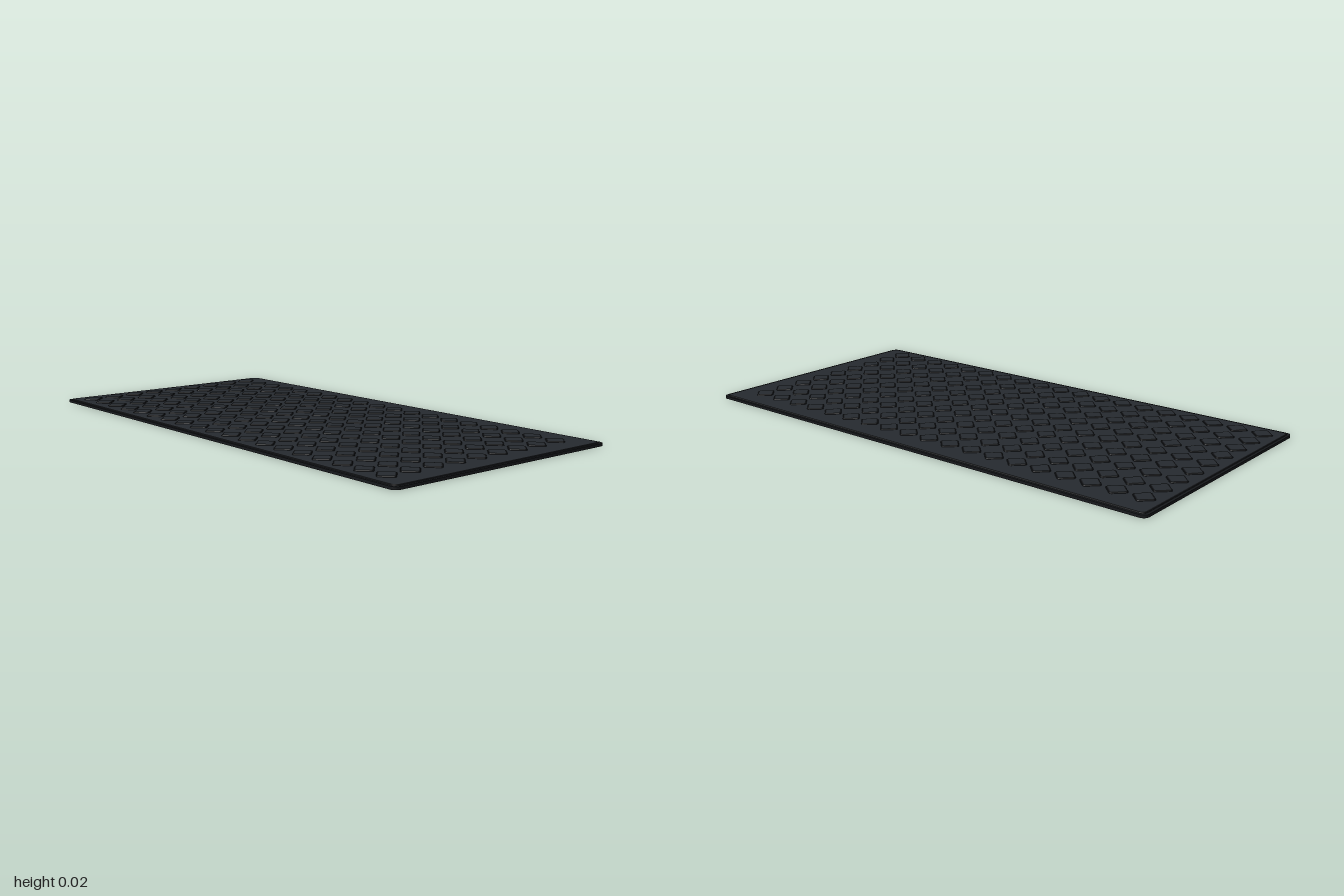
import * as THREE from 'three';

// Rounded rectangle outline centred on the origin
function roundedRect(w, d, r) {
  const x = w / 2, y = d / 2;
  const s = new THREE.Shape();
  s.moveTo(-x + r, -y);
  s.lineTo(x - r, -y);
  s.absarc(x - r, -y + r, r, -Math.PI / 2, 0);
  s.lineTo(x, y - r);
  s.absarc(x - r, y - r, r, 0, Math.PI / 2);
  s.lineTo(-x + r, y);
  s.absarc(-x + r, y - r, r, Math.PI / 2, Math.PI);
  s.lineTo(-x, -y + r);
  s.absarc(-x + r, -y + r, r, Math.PI, Math.PI * 1.5);
  return s;
}

// Flat slab lying in xz, w by d overall, from bottom to top, with optional bevel
function slab(w, d, r, bottom, top, bevel = 0, bevelHeight = 0) {
  const g = new THREE.ExtrudeGeometry(roundedRect(w - 2 * bevel, d - 2 * bevel, r), {
    depth: top - bottom - 2 * bevelHeight,
    bevelEnabled: bevel > 0,
    bevelSize: bevel,
    bevelThickness: bevelHeight,
    bevelSegments: 2,
    curveSegments: 5,
  });
  g.rotateX(-Math.PI / 2);
  g.translate(0, bottom + bevelHeight, 0);
  return g;
}

export function createModel() {
  const mat = new THREE.Group();
  mat.name = 'floorMat';
  const edgeMaterial = new THREE.MeshStandardMaterial({ color: 0x17191c });
  const topMaterial = new THREE.MeshStandardMaterial({ color: 0x262a2f });

  // Dark backing that shows as a narrow rim
  const base = new THREE.Mesh(slab(2, 1, 0.022, 0, 0.01), edgeMaterial);
  base.name = 'base';
  mat.add(base);

  // Raised walking surface: dark bevelled sides, lighter top
  const surface = new THREE.Mesh(
    slab(1.98, 0.98, 0.014, 0.004, 0.0135, 0.006, 0.003),
    [topMaterial, edgeMaterial]
  );
  surface.name = 'surface';
  mat.add(surface);

  // Grid of diamond grip studs
  const studs = new THREE.Group();
  studs.name = 'gripStuds';
  const studGeometry = slab(0.063, 0.063, 0.003, 0.008, 0.018, 0.006, 0.003);
  studGeometry.rotateY(Math.PI / 4);
  for (let row = 0; row < 9; row++) {
    for (let col = 0; col < 19; col++) {
      const stud = new THREE.Mesh(studGeometry, [topMaterial, edgeMaterial]);
      stud.name = 'gripStud';
      stud.position.set(-0.92 + col * 0.1, 0, -0.38 + row * 0.1);
      studs.add(stud);
    }
  }
  mat.add(studs);
  return mat;
}
